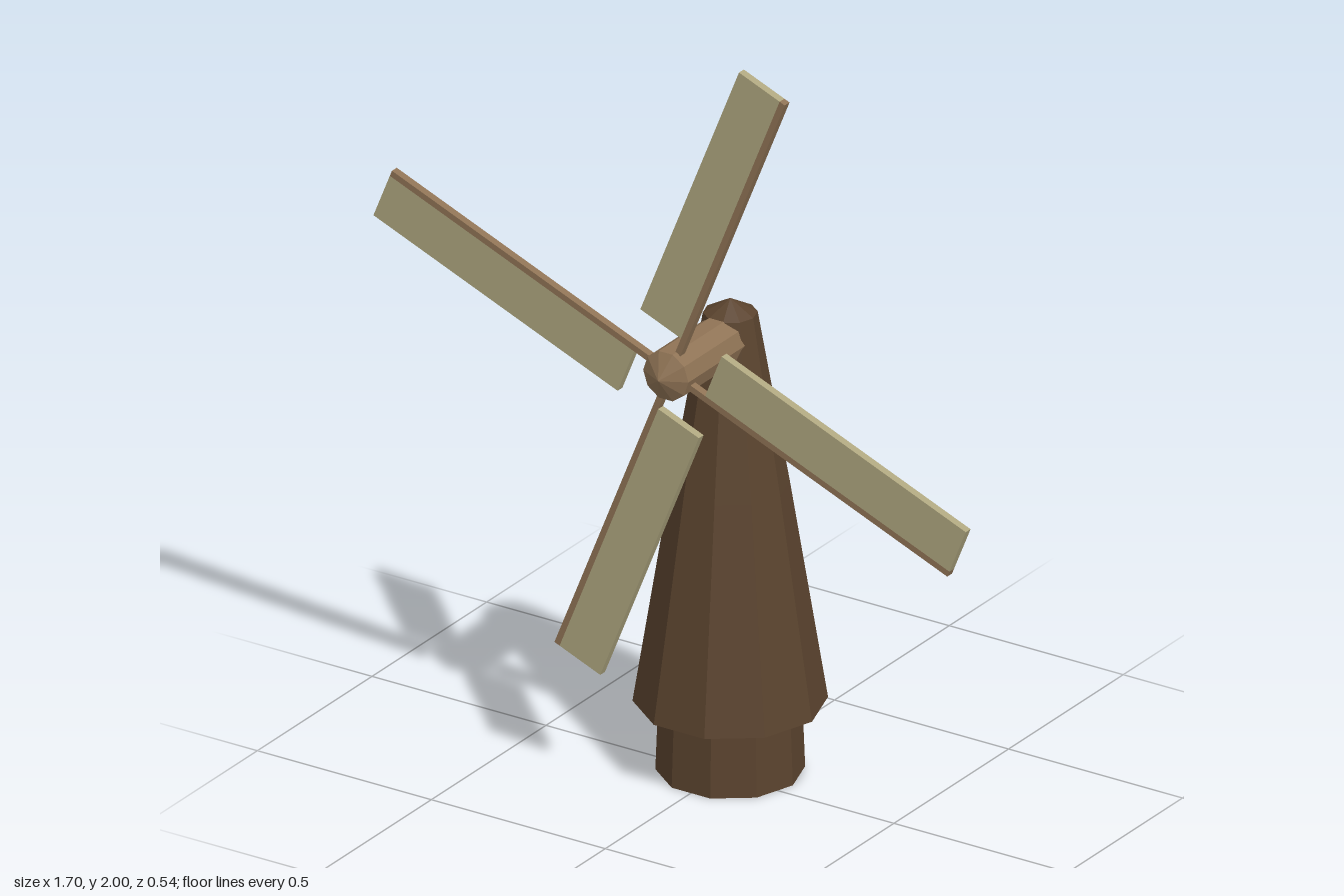
import * as THREE from 'three';

const SIDES = 10;
const material = (color) => new THREE.MeshStandardMaterial({ color, flatShading: true });

function addMesh(parent, name, geometry, mat) {
  const mesh = new THREE.Mesh(geometry, mat);
  mesh.name = name;
  parent.add(mesh);
  return mesh;
}

// Ten-sided turned solid with a corner on the x axis, from [radius, height] pairs
function turned(points) {
  const profile = points.map(([r, y]) => new THREE.Vector2(r, y));
  return new THREE.LatheGeometry(profile, SIDES, Math.PI / 2);
}

export function createModel() {
  const model = new THREE.Group();
  model.name = 'windmill';
  const darkWood = material(0x5a432e);
  const lightWood = material(0x8f7355);
  const cloth = material(0xaea67f);

  // Tower: narrow foot, overhanging tapered body and a low pointed cap
  const tower = new THREE.Group();
  tower.name = 'tower';
  tower.position.z = -0.045;
  model.add(tower);
  addMesh(tower, 'foot', turned([[0, 0], [0.18, 0], [0.173, 0.185]]), darkWood);
  addMesh(tower, 'body', turned([[0, 0.183], [0.235, 0.183], [0.143, 0.76], [0.066, 1.21]]), darkWood);
  addMesh(tower, 'cap', turned([[0.066, 1.21], [0, 1.247]]), darkWood);

  // Axle: runs forward from inside the tower and ends in a pointed nose
  const axle = turned([[0, -0.045], [0.065, -0.045], [0.065, 0.236], [0, 0.27]]);
  axle.rotateX(Math.PI / 2);
  addMesh(model, 'axle', axle, lightWood).position.y = 1.15;

  // Sails: four spars, each carrying a panel on one side
  const rotor = new THREE.Group();
  rotor.name = 'rotor';
  rotor.position.set(0, 1.15, 0.209);
  model.add(rotor);
  const tip = 0.864, inner = 0.107, halfSpar = 0.008, panelEdge = 0.134, depth = 0.021;
  for (let i = 0; i < 4; i++) {
    const sail = new THREE.Group();
    sail.name = `sail${i + 1}`;
    sail.rotation.z = THREE.MathUtils.degToRad(-22 + i * 90);
    rotor.add(sail);
    const spar = new THREE.BoxGeometry(halfSpar * 2, tip, depth);
    addMesh(sail, 'spar', spar, lightWood).position.y = tip / 2;
    const panel = new THREE.BoxGeometry(panelEdge - halfSpar, tip - inner, depth);
    addMesh(sail, 'panel', panel, cloth)
      .position.set(-(panelEdge + halfSpar) / 2, (tip + inner) / 2, 0);
  }
  return model;
}
